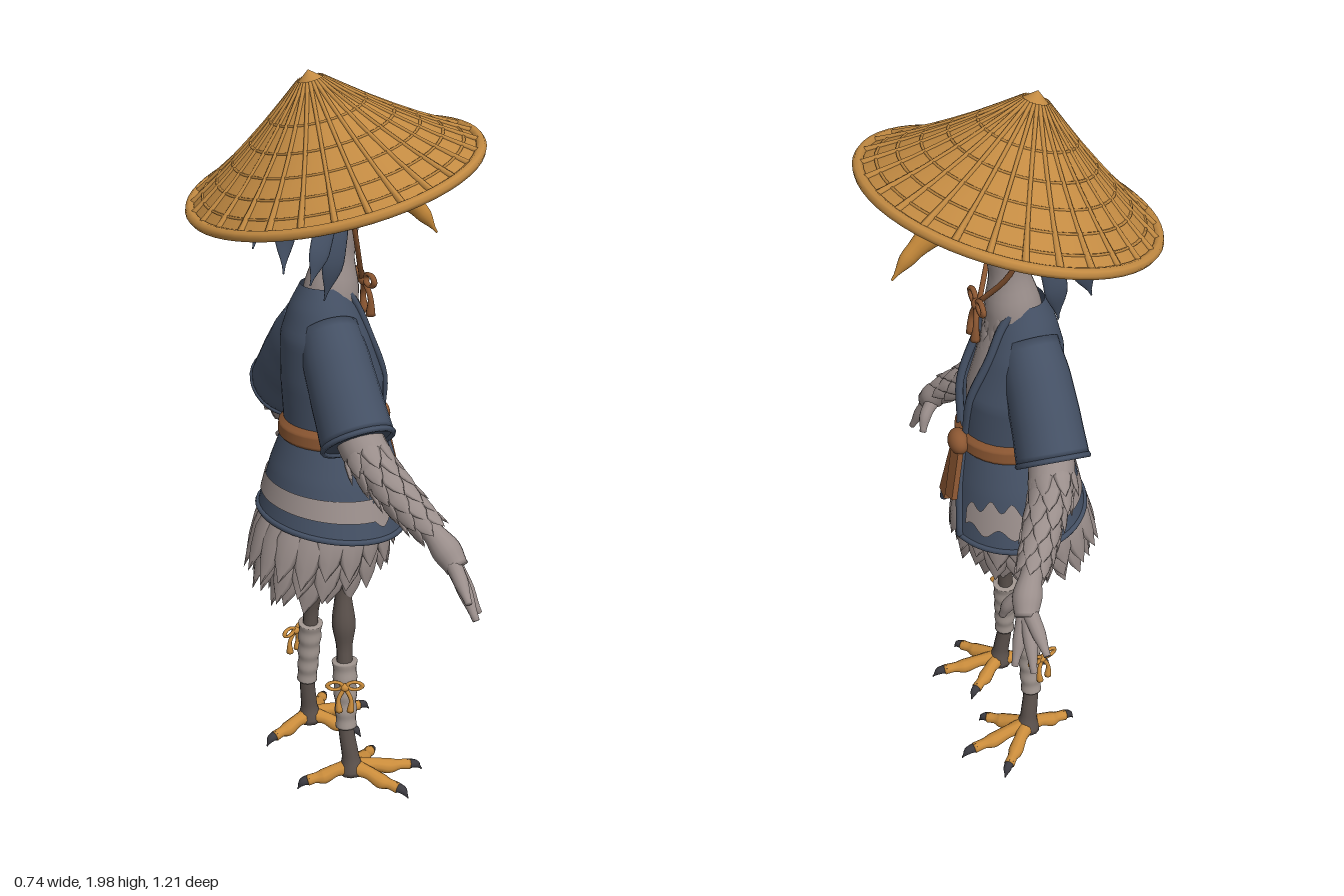
import * as THREE from 'three';
import { mergeGeometries } from 'three/addons/utils/BufferGeometryUtils.js';

const V = (x, y, z) => new THREE.Vector3(x, y, z);
const mat = (name, color) => {
  const m = new THREE.MeshStandardMaterial({ color, side: THREE.DoubleSide });
  m.name = name;
  return m;
};

// Surface through rows of points; closed joins the last column to the first
function grid(rows, cols, fn, closed = true) {
  const pos = [], idx = [], n = closed ? cols : cols + 1;
  for (let i = 0; i <= rows; i++) for (let j = 0; j < n; j++) pos.push(...fn(i, j).toArray());
  for (let i = 0; i < rows; i++) for (let j = 0; j < cols; j++) {
    const a = i * n + j, b = i * n + ((j + 1) % n), c = a + n, d = b + n;
    idx.push(a, b, c, b, d, c);
  }
  const g = new THREE.BufferGeometry();
  g.setAttribute('position', new THREE.Float32BufferAttribute(pos, 3));
  g.setIndex(idx);
  g.computeVertexNormals();
  return g;
}

// Tapered tube; pts are [x, y, z, radius], flattened along the side direction
function limb(pts, { flat = 1, side = V(0, 0, 1), seg = 12, steps = 5 } = {}) {
  const curve = new THREE.CatmullRomCurve3(pts.map(p => V(p[0], p[1], p[2])));
  const n = (pts.length - 1) * steps;
  return grid(n + 2, seg, (i, j) => {
    const t = Math.min(Math.max((i - 1) / n, 0), 1), f = t * (pts.length - 1);
    const k = Math.min(Math.floor(f), pts.length - 2);
    const s = THREE.MathUtils.smoothstep(f - k, 0, 1);
    const r = i === 0 || i === n + 2 ? 0 : THREE.MathUtils.lerp(pts[k][3], pts[k + 1][3], s);
    const tan = curve.getTangent(t);
    const v = side.clone().addScaledVector(tan, -side.dot(tan)).normalize();
    const u = v.clone().cross(tan), a = j / seg * Math.PI * 2;
    return curve.getPoint(t).addScaledVector(u, r * Math.cos(a)).addScaledVector(v, r * flat * Math.sin(a));
  });
}

// Rings are [y, centreX, radiusX, radiusZ, frontOpening]
function ringPoint(rings, y, a, off = 0) {
  let k = 0;
  while (k < rings.length - 2 && y > rings[k + 1][0]) k++;
  const t = (y - rings[k][0]) / (rings[k + 1][0] - rings[k][0]);
  const [, cx, rx, rz, open = 0] = rings[k].map((q, i) => THREE.MathUtils.lerp(q, rings[k + 1][i], t));
  const ang = a === 'open' ? open : a === 'close' ? -open : a;
  const x = cx + (rx + off) * Math.cos(ang);
  return { p: V(x, y, -(rz + off) * Math.sin(ang)), open };
}
const stack = (rings, seg = 32, per = 4) => {
  const y0 = rings[0][0], y1 = rings[rings.length - 1][0], n = rings.length * per;
  return grid(n, seg, (i, j) => ringPoint(rings, y0 + (y1 - y0) * i / n, j / seg * Math.PI * 2).p);
};

// A unit leaf along +y, placed from base to tip
const leaf = new THREE.LatheGeometry([[0, 0], [0.3, 0.12], [0.5, 0.42], [0.34, 0.72], [0, 1]].map(p => new THREE.Vector2(...p)), 8);
const plank = new THREE.BoxGeometry(1, 1, 1).translate(0, 0.5, 0);
function place(geo, base, tip, normal, w, t) {
  const y = tip.clone().sub(base), d = y.clone().normalize();
  const z = normal.clone().addScaledVector(d, -normal.dot(d)).normalize();
  const x = d.clone().cross(z);
  const m = new THREE.Matrix4().makeBasis(x.multiplyScalar(w), y, z.multiplyScalar(t)).setPosition(base);
  return geo.clone().applyMatrix4(m);
}

export function createModel() {
  const straw = mat('straw', 0xc28a42), navy = mat('navy cloth', 0x445064), plume = mat('grey plumage', 0x9a8e8b);
  const brown = mat('brown cord', 0x8c5732), horn = mat('orange horn', 0xcb8d3c), shank = mat('dark shank', 0x5c524d);
  const claw = mat('claw', 0x3d3c42), wrapMat = mat('leg wrap', 0xa0958f), eyeMat = mat('amber eye', 0xd99a30);
  const model = new THREE.Group();
  const add = (name, geo, m, parent = model) => {
    const mesh = new THREE.Mesh(Array.isArray(geo) ? mergeGeometries(geo) : geo, m);
    mesh.name = name;
    parent.add(mesh);
    return mesh;
  };

  // Straw hat: tilted cone with ribs, hoops and a thick rim
  const hat = new THREE.Group();
  hat.name = 'hat';
  hat.position.set(0, 1.733, 0);
  hat.rotation.z = 0.258;
  hat.scale.z = 1.05;
  model.add(hat);
  const R = 0.368, h = r => 0.268 * (1 - r / R) - 0.012 * Math.sin(Math.PI * r / R);
  const profile = [0.001, 0.02, 0.09, 0.18, 0.27, R].map(r => new THREE.Vector2(r, h(r)));
  profile.push(new THREE.Vector2(0.355, -0.012), new THREE.Vector2(0.18, 0.105), new THREE.Vector2(0.001, 0.235));
  add('hatCone', new THREE.LatheGeometry(profile.reverse(), 56), straw, hat);
  add('hatRim', new THREE.TorusGeometry(R, 0.014, 8, 56).rotateX(Math.PI / 2), straw, hat);
  const weave = [0.12, 0.18, 0.235, 0.285, 0.33].map(r =>
    new THREE.TorusGeometry(r, 0.004, 5, 56).rotateX(Math.PI / 2).translate(0, h(r), 0));
  for (let i = 0; i < 28; i++) {
    const rib = [0.03, 0.14, 0.26, R + 0.006].map((r, k) => [r, h(r), 0, k === 3 ? 0.01 : 0.0055]);
    weave.push(limb(rib, { seg: 6, steps: 2 }).rotateY(i / 28 * Math.PI * 2));
  }
  weave.forEach(g => g.deleteAttribute('uv'));
  add('hatWeave', weave, straw, hat);

  // Body, neck and head
  add('body', stack([[0.66, -0.03, 0.11, 0.11], [0.75, -0.03, 0.155, 0.16], [0.86, -0.015, 0.155, 0.175], [1.05, 0, 0.12, 0.123],
    [1.2, -0.005, 0.118, 0.13], [1.32, -0.02, 0.1, 0.1], [1.42, -0.02, 0.065, 0.06]]), plume);
  add('neck', limb([[-0.02, 1.32, 0, 0.085], [-0.008, 1.43, 0, 0.073], [0.004, 1.54, 0, 0.051], [0.015, 1.62, 0, 0.054],
    [0.03, 1.7, 0, 0.075]], { seg: 20 }), plume);
  const ball = (...a) => new THREE.SphereGeometry(1, 32, 20, ...a);
  add('head', ball().scale(0.115, 0.09, 0.098).translate(0.045, 1.725, 0), plume);
  add('crown', ball(Math.PI + 0.3, Math.PI * 2 - 0.6, 0, 1.2).scale(0.119, 0.095, 0.103).translate(0.045, 1.727, 0), navy);
  add('beak', limb([[0.115, 1.695, 0, 0.038], [0.185, 1.668, 0, 0.034], [0.25, 1.612, 0, 0.022], [0.298, 1.552, 0, 0.003]],
    { flat: 0.8, seg: 14 }), horn);
  for (const s of [1, -1]) {
    add('eye', ball().scale(0.014, 0.016, 0.016).translate(0.13, 1.722, s * 0.062), eyeMat);
    add('pupil', ball().scale(0.006, 0.007, 0.007).translate(0.142, 1.721, s * 0.066), claw);
    add('brow', limb([[0.155, 1.722, s * 0.026, 0.004], [0.142, 1.743, s * 0.055, 0.009], [0.1, 1.757, s * 0.09, 0.008]], { seg: 8 }), navy);
    // Drooping crest plumes
    add('crestPlume', limb([[-0.03, 1.77, s * 0.085, 0.02], [-0.085, 1.7, s * 0.155, 0.034],
      [-0.13, 1.6, s * (s > 0 ? 0.205 : 0.17), 0.028], [-0.16, 1.52, s * (s > 0 ? 0.215 : 0.155), 0.002]], { flat: 0.25 }), navy);
    add('crestPlume', limb([[-0.02, 1.75, s * 0.085, 0.02], [-0.055, 1.65, s * 0.135, 0.035],
      [-0.07, 1.55, s * 0.15, 0.03], [-0.085, 1.45, s * 0.13, 0.002]], { flat: 0.25 }), navy);
    // Chin cord
    add('chinCord', limb([[-0.02, 1.83, s * 0.14, 0.007], [-0.01, 1.7, s * 0.12, 0.007], [0.025, 1.57, s * 0.085, 0.007],
      [0.08, 1.455, 0, 0.007]], { seg: 8 }), brown);
  }

  // Bow facing +x: knot, two loops, two tails
  const bow = (name, m, k) => {
    const parts = [ball().scale(0.013, 0.014, 0.014)];
    for (const s of [1, -1]) {
      parts.push(new THREE.TorusGeometry(0.02, 0.007, 6, 16).rotateY(Math.PI / 2).scale(1, 0.7, 1.2).translate(0, 0.006, s * 0.032));
      parts.push(limb([[0, 0, 0, 0.007], [0.008, -0.04, s * 0.02, 0.007], [0.01, -0.085, s * 0.018, 0.012]], { seg: 8 }));
    }
    parts.forEach(g => g.deleteAttribute('uv'));
    const mesh = add(name, parts, m);
    mesh.scale.setScalar(k);
    return mesh;
  };
  bow('chinBow', brown, 1.1).position.set(0.086, 1.45, 0);

  // Chest feathers
  const chest = [];
  for (let r = 0; r < 7; r++) for (let c = -1; c <= 1; c++) {
    const y = 1.44 - r * 0.042 - Math.abs(c) * -0.015, x = 0.045 + r * 0.0085 - Math.abs(c) * 0.012, z = c * 0.032 + (r % 2) * 0.008;
    chest.push(place(leaf, V(x, y, z), V(x + 0.022, y - 0.085, z), V(1, 0, 0), 0.045, 0.018));
  }
  add('chestFeathers', chest, plume);

  // Tail and hip feathers in overlapping rows, longer at the back
  const skirt = [];
  for (const [y0, y1, r0, r1, n, ph] of [[0.87, 0.73, 0.155, 0.185, 20, 0], [0.81, 0.675, 0.15, 0.165, 18, 0.5], [0.75, 0.625, 0.12, 0.12, 14, 0]])
    for (let i = 0; i < n; i++) {
      const a = (i + ph) / n * Math.PI * 2, b = (1 - Math.cos(a)) / 2, c = Math.cos(a), s = Math.sin(a);
      const drop = 0.055 * b + 0.02 * (i % 2);
      skirt.push(place(leaf, V(-0.02 + r0 * c, y0, r0 * 1.1 * s), V(-0.015 - 0.055 * b + r1 * c, y1 - drop, r1 * 1.04 * s), V(c, 0.1, s), 0.085, 0.03));
    }
  add('tailFeathers', skirt, plume);

  // Jacket, open at the front
  const coat = [[0.81, -0.01, 0.192, 0.226, 0.4], [0.95, -0.006, 0.165, 0.185, 0.27], [1.07, 0, 0.132, 0.137, 0.2], [1.2, -0.005, 0.134, 0.147, 0.34],
    [1.32, -0.026, 0.112, 0.135, 0.48], [1.4, -0.03, 0.086, 0.098, 0.62], [1.455, -0.03, 0.058, 0.066, 0.95]];
  const hemTilt = p => { p.y -= 0.1 * p.x * THREE.MathUtils.clamp((1.05 - p.y) / 0.24, 0, 1); return p; };
  const coatAt = (y, a, off) => hemTilt(ringPoint(coat, y, a, off).p);
  add('jacket', grid(40, 48, (i, j) => {
    const y = 0.81 + 0.645 * i / 40, o = ringPoint(coat, y, 0).open;
    return coatAt(y, o + (Math.PI * 2 - 2 * o) * j / 48);
  }, false), navy);
  for (const e of ['open', 'close'])
    add('jacketLapel', limb(coat.map(c => [...coatAt(c[0], e).toArray(), 0.011]), { seg: 8, flat: 1.2 }), navy);
  add('jacketHem', limb(Array.from({ length: 25 }, (_, i) => [...coatAt(0.81, 0.4 + (Math.PI * 2 - 0.8) * i / 24).toArray(), 0.008]),
    { seg: 8, steps: 2, side: V(0, 1, 0) }), navy);

  // Pale hem band at the back and cloud patches at the front
  const patch = (a0, a1, lo, hi) => grid(8, 40, (i, j) => {
    const t = j / 40, y = THREE.MathUtils.lerp(lo(t), hi(t), i / 8);
    return coatAt(y, a0 + (a1 - a0) * t, 0.004);
  }, false);
  add('hemBand', patch(1.4, Math.PI * 2 - 1.4, () => 0.86, () => 0.918), plume);
  for (const s of [1, -1])
    add('cloudPatch', patch(s * 0.5, s * 1.4, t => 0.855 + 0.012 * Math.sin(t * 13),
      t => 0.875 + 0.055 * Math.sqrt(Math.sin(Math.PI * (0.06 + t * 0.72))) + 0.014 * Math.sin(t * 17)), plume);

  // Belt with knot and hanging ends
  add('belt', stack([[1.03, 0, 0.134, 0.143], [1.045, 0, 0.148, 0.152], [1.075, 0, 0.147, 0.151], [1.09, 0, 0.133, 0.141]]), brown);
  add('beltKnot', ball().scale(0.028, 0.034, 0.04).translate(0.15, 1.062, -0.03), brown);
  add('beltEnds', [place(plank, V(0.15, 1.05, -0.02), V(0.188, 0.885, -0.012), V(1, 0.2, 0), 0.05, 0.016),
    place(plank, V(0.155, 1.05, -0.04), V(0.183, 0.91, -0.065), V(1, 0.2, -0.2), 0.04, 0.016)], brown);

  for (const s of [1, -1]) {
    const X = { side: V(1, 0, 0) };
    // Wide sleeve and feathered arm
    add('sleeve', limb([[-0.035, 1.34, s * 0.045, 0.088], [-0.04, 1.26, s * 0.115, 0.098], [-0.042, 1.18, s * 0.18, 0.102],
      [-0.042, 1.105, s * 0.238, 0.106]], { ...X, flat: 0.88, seg: 24 }), navy);
    add('cuff', new THREE.TorusGeometry(0.103, 0.008, 6, 28).scale(0.88, 1, 1).rotateX(s * 0.9).translate(-0.042, 1.105, s * 0.238), navy);
    const path = [[-0.04, 1.16, s * 0.19, 0.062], [-0.03, 1.08, s * 0.265, 0.06], [0.02, 0.99, s * 0.35, 0.045], [0.07, 0.92, s * 0.425, 0.028],
      [0.095, 0.875, s * 0.465, 0.038], [0.108, 0.84, s * 0.5, 0.03]];
    add('arm', limb(path, { ...X, seg: 16 }), plume);
    const tufts = [], axis = new THREE.CatmullRomCurve3(path.map(p => V(p[0], p[1], p[2])));
    for (let r = 0; r < 6; r++) for (let i = 0; i < 7; i++) {
      const t = 0.15 + r * 0.065, d = axis.getTangent(t), a = (i + (r % 2) / 2) / 7 * Math.PI * 2;
      const v = V(1, 0, 0).addScaledVector(d, -d.x).normalize(), u = v.clone().cross(d);
      const o = v.multiplyScalar(Math.cos(a)).addScaledVector(u, Math.sin(a)), rad = 0.06 - r * 0.005;
      const base = axis.getPoint(t).addScaledVector(o, rad * 0.8);
      tufts.push(place(leaf, base, base.clone().addScaledVector(d, 0.09).addScaledVector(o, 0.016), o, 0.05, 0.016));
    }
    add('armFeathers', tufts, plume);
    // Fingers and thumb
    for (const [x, y, z] of [[0.085, 0.795, 0.6], [0.115, 0.735, 0.588], [0.15, 0.725, 0.54]])
      add('finger', limb([[0.1, 0.86, s * 0.475, 0.022], [(0.1 + x) / 2, (0.868 + y) / 2, s * (0.477 + z) / 2, 0.019], [x, y, s * z, 0.009]], X), plume);
    add('thumb', limb([[0.09, 0.88, s * 0.455, 0.022], [0.13, 0.835, s * 0.432, 0.018], [0.145, 0.785, s * 0.415, 0.01]]), plume);

    // Leg with knee, wrap and bow
    add('leg', limb([[-0.02, 0.72, s * 0.095, 0.05], [-0.02, 0.61, s * 0.105, 0.023], [-0.02, 0.515, s * 0.11, 0.033], [-0.02, 0.43, s * 0.115, 0.022],
      [-0.024, 0.2, s * 0.135, 0.022], [-0.015, 0.11, s * 0.145, 0.024], [-0.01, 0.05, s * 0.148, 0.036]]), shank);
    add('legWrap', limb(Array.from({ length: 9 }, (_, i) => [-0.02 - 0.004 * i / 8, 0.4 - i * 0.025, s * (0.117 + 0.0025 * i), 0.036 - 0.006 * i / 8 - 0.003 * (i % 2)]),
      { seg: 16 }), wrapMat);
    const b = bow('legBow', horn, 0.85);
    b.position.set(-0.045, 0.35, s * 0.172);
    b.rotation.y = -s * 2.0;

    // Foot: four toes with claws
    for (const [x, z] of [[0.2, 0.175], [0.11, 0.045], [0.1, 0.285], [-0.165, 0.115]]) {
      const at = (t, y, r) => [-0.01 + (x + 0.01) * t, y, s * (0.148 + (z - 0.148) * t), r];
      add('toe', limb([at(0, 0.065, 0.026), at(0.3, 0.06, 0.019), at(0.52, 0.045, 0.022), at(0.68, 0.043, 0.015), at(0.82, 0.038, 0.016)],
        { side: V(0, 1, 0), seg: 10 }), horn);
      add('claw', limb([at(0.78, 0.04, 0.015), at(0.9, 0.036, 0.012), at(1, 0.014, 0.002)], { side: V(0, 1, 0), seg: 8 }), claw);
    }
  }
  return model;
}
